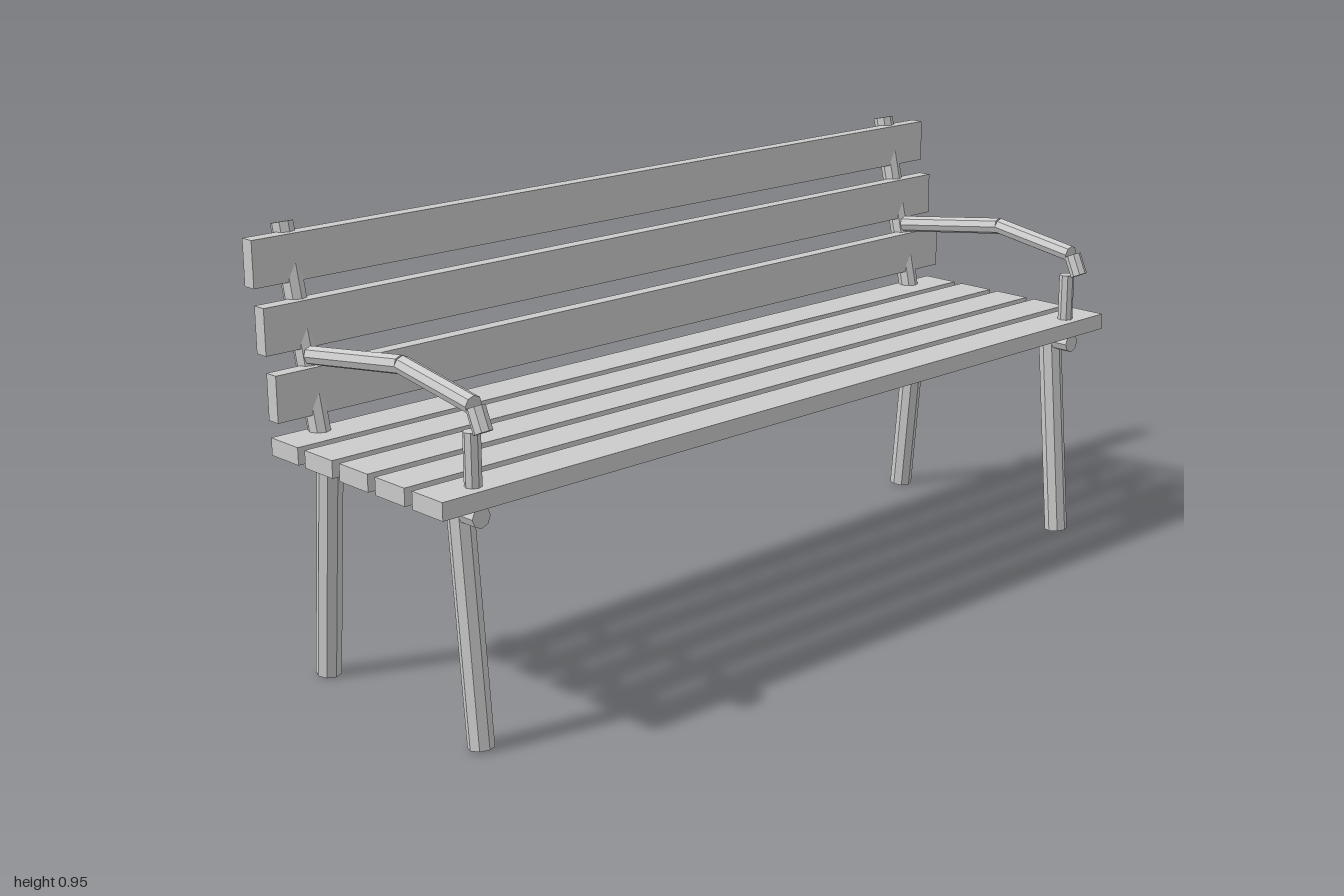
import * as THREE from 'three';

const material = new THREE.MeshStandardMaterial({ color: 0xcccccc, flatShading: true });

// Straight eight-sided bar in the side plane, from [y, z] to [y, z]
function bar(name, [y0, z0], [y1, z1], radius) {
  const dy = y1 - y0, dz = z1 - z0;
  const mesh = new THREE.Mesh(new THREE.CylinderGeometry(radius, radius, Math.hypot(dy, dz), 8), material);
  mesh.position.set(0, (y0 + y1) / 2, (z0 + z1) / 2);
  mesh.rotation.x = Math.atan2(dz, dy);
  mesh.name = name;
  return mesh;
}

// Full-length plank
function slat(name, height, depth, y, z) {
  const mesh = new THREE.Mesh(new THREE.BoxGeometry(2, height, depth), material);
  mesh.position.set(0, y, z);
  mesh.name = name;
  return mesh;
}

// Legs, seat rail, back post and armrest of one end
function sideFrame(name, x) {
  const frame = new THREE.Group();
  frame.name = name;
  frame.position.x = x;
  frame.add(
    bar('frontLeg', [0.003, 0.283], [0.478, 0.241], 0.027),
    bar('backLeg', [0.003, -0.223], [0.478, -0.181], 0.027),
    bar('seatRail', [0.478, 0.305], [0.478, -0.245], 0.022),
    bar('backPost', [0.485, -0.202], [0.949, -0.31], 0.0235),
    bar('armrestPost', [0.485, 0.283], [0.643, 0.283], 0.0175),
    bar('armrestTip', [0.647, 0.318], [0.693, 0.297], 0.0195),
    bar('armrestFront', [0.695, 0.291], [0.729, 0.075], 0.0195),
    bar('armrestBack', [0.729, 0.075], [0.688, -0.228], 0.0195)
  );
  return frame;
}

export function createModel() {
  const bench = new THREE.Group();
  bench.name = 'bench';
  // Seat
  for (let i = 0; i < 5; i++) bench.add(slat('seatSlat', 0.037, 0.092, 0.5165, 0.272 - i * 0.1155));
  // Backrest, stepping backwards as it rises
  for (let i = 0; i < 3; i++) bench.add(slat('backSlat', 0.098, 0.032, 0.619 + i * 0.132, -0.224 - i * 0.03));
  // End frames
  bench.add(sideFrame('leftFrame', 0.9), sideFrame('rightFrame', -0.9));
  return bench;
}
